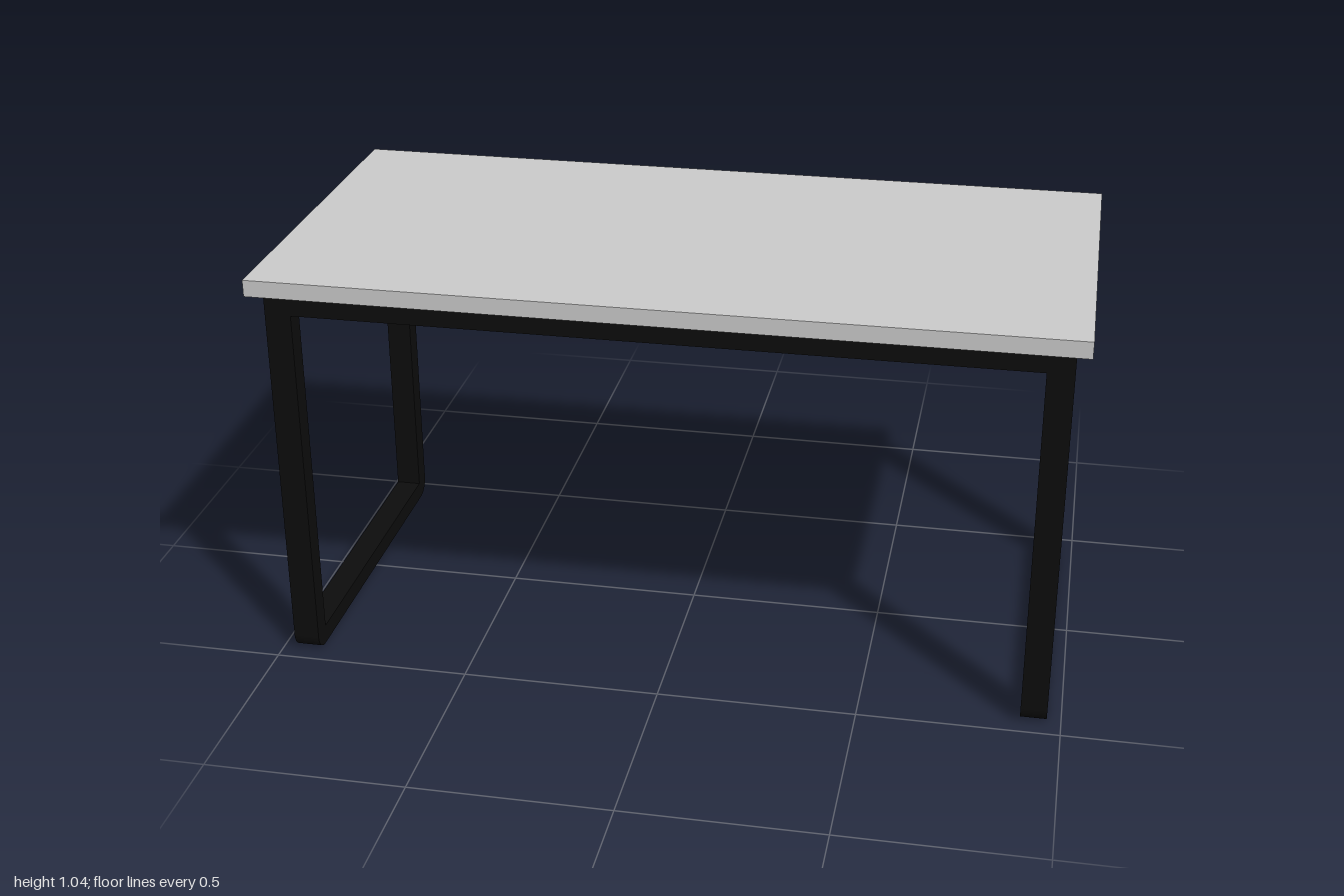
import * as THREE from 'three';

export function createModel() {
  const model = new THREE.Group();
  model.name = 'table';
  const topMaterial = new THREE.MeshStandardMaterial({ color: 0xcccccc });
  const frameMaterial = new THREE.MeshStandardMaterial({ color: 0x0d0d0d });

  const frameX = 0.965, frameZ = 0.465, frameTop = 1; // outer limits of the frame
  const barX = 0.065, barZ = 0.055, railHeight = 0.057, footHeight = 0.047;
  const radius = 0.045;

  const add = (name, geometry, material, x, y, z) => {
    const mesh = new THREE.Mesh(geometry, material);
    mesh.name = name;
    mesh.position.set(x, y, z);
    model.add(mesh);
  };

  // Table top
  add('tableTop', new THREE.BoxGeometry(2, 0.042, 0.998), topMaterial, 0, frameTop + 0.021, 0);

  // Closed leg loop: rounded lower corners outside, square opening inside
  const loop = new THREE.Shape();
  loop.moveTo(-frameZ, frameTop);
  loop.lineTo(-frameZ, radius);
  loop.absarc(-frameZ + radius, radius, radius, Math.PI, Math.PI * 1.5, false);
  loop.lineTo(frameZ - radius, 0);
  loop.absarc(frameZ - radius, radius, radius, Math.PI * 1.5, Math.PI * 2, false);
  loop.lineTo(frameZ, frameTop);
  loop.closePath();

  const innerZ = frameZ - barZ;
  const innerTop = frameTop - railHeight;
  const opening = new THREE.Path();
  opening.moveTo(-innerZ, footHeight);
  opening.lineTo(-innerZ, innerTop);
  opening.lineTo(innerZ, innerTop);
  opening.lineTo(innerZ, footHeight);
  opening.closePath();
  loop.holes.push(opening);

  const loopGeometry = new THREE.ExtrudeGeometry(loop, { depth: barX, bevelEnabled: false, curveSegments: 8 });
  loopGeometry.translate(0, 0, -barX / 2).rotateY(-Math.PI / 2);

  // Leg loops at both ends, long rails along front and back
  const railGeometry = new THREE.BoxGeometry(2 * (frameX - barX), railHeight, barZ);
  for (const side of [1, -1]) {
    add(side > 0 ? 'leftLegLoop' : 'rightLegLoop', loopGeometry, frameMaterial, side * (frameX - barX / 2), 0, 0);
    add(side > 0 ? 'frontRail' : 'backRail', railGeometry, frameMaterial,
      0, frameTop - railHeight / 2, side * (frameZ - barZ / 2));
  }

  return model;
}
